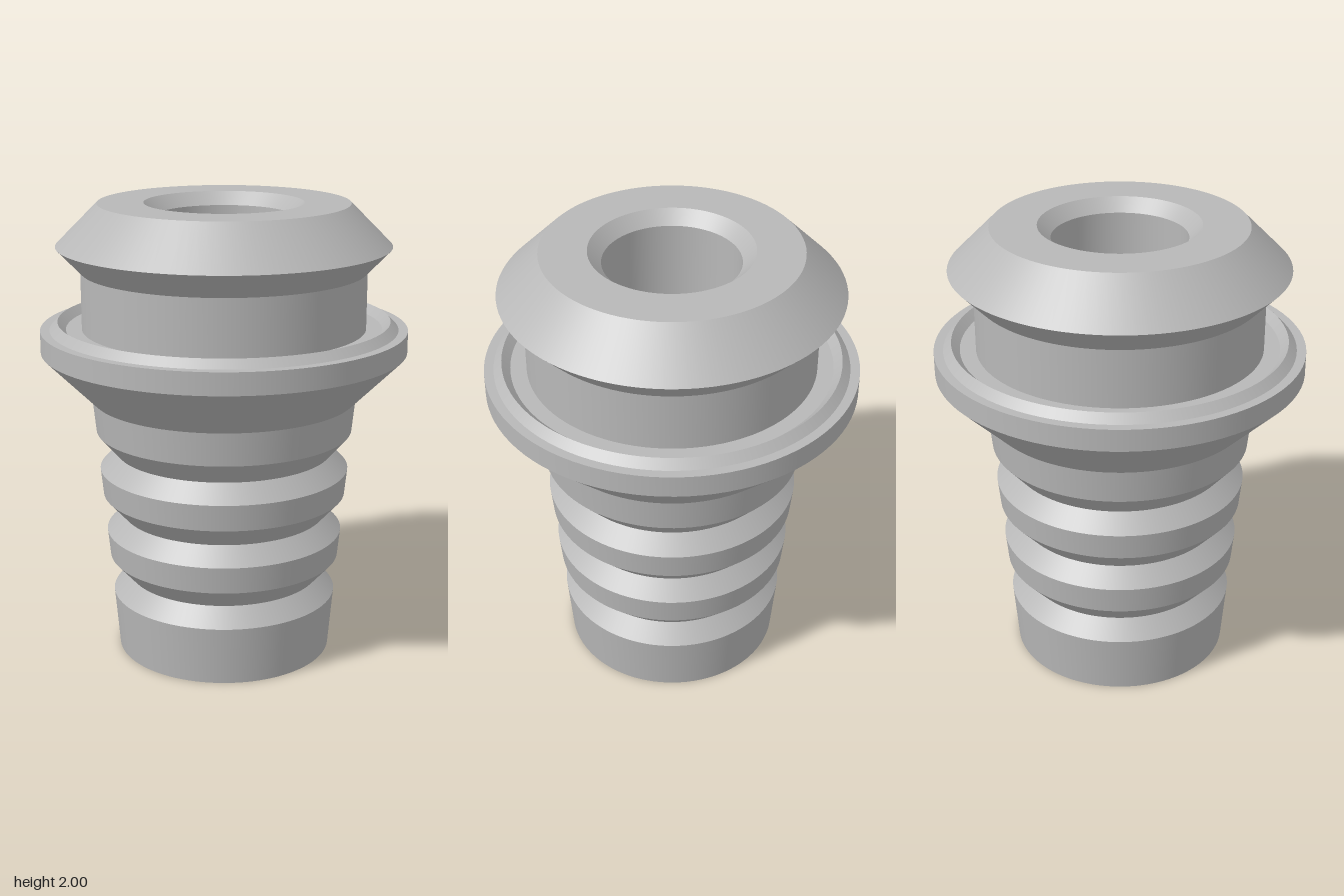
import * as THREE from 'three';
import { mergeGeometries } from 'three/addons/utils/BufferGeometryUtils.js';

const SEGMENTS = 96;

// Revolves a profile so every band is smooth around but has sharp edges.
// Profiles run upward on the outside and downward in the bore.
function turned(profile) {
  const bands = [];
  for (let i = 0; i < profile.length - 1; i++) {
    const pair = [profile[i], profile[i + 1]].map(([r, y]) => new THREE.Vector2(r, y));
    bands.push(new THREE.LatheGeometry(pair, SEGMENTS));
  }
  return mergeGeometries(bands);
}

export function createModel() {
  const group = new THREE.Group();
  const grey = new THREE.MeshStandardMaterial({ color: 0xb8b8b8 });
  grey.name = 'grey metal';

  const parts = {
    // bottom face and first tapered barb
    endBarb: [[0.34, 0], [0.475, 0], [0.497, 0.26], [0.425, 0.338]],
    lowerBarb: [[0.425, 0.338], [0.51, 0.432], [0.522, 0.55], [0.45, 0.626]],
    middleBarb: [[0.45, 0.626], [0.535, 0.72], [0.547, 0.836], [0.475, 0.912]],
    upperBarb: [[0.475, 0.912], [0.56, 1.01], [0.575, 1.155]],
    // flared flange with a raised lip and a shallow recess around the neck
    flange: [[0.575, 1.155], [0.79, 1.37], [0.79, 1.465], [0.75, 1.465],
      [0.715, 1.5], [0.68, 1.465], [0.612, 1.465]],
    neck: [[0.612, 1.465], [0.612, 1.715]],
    // double-bevelled head and its flat top
    head: [[0.612, 1.715], [0.715, 1.822], [0.537, 2], [0.34, 2]],
    // through hole, chamfered at both mouths and narrower in the middle
    bore: [[0.34, 2], [0.285, 1.945], [0.285, 1.2], [0.227, 1.14],
      [0.227, 0.16], [0.285, 0.1], [0.285, 0.055], [0.34, 0]],
  };

  for (const [name, profile] of Object.entries(parts)) {
    const mesh = new THREE.Mesh(turned(profile), grey);
    mesh.name = name;
    group.add(mesh);
  }
  return group;
}
